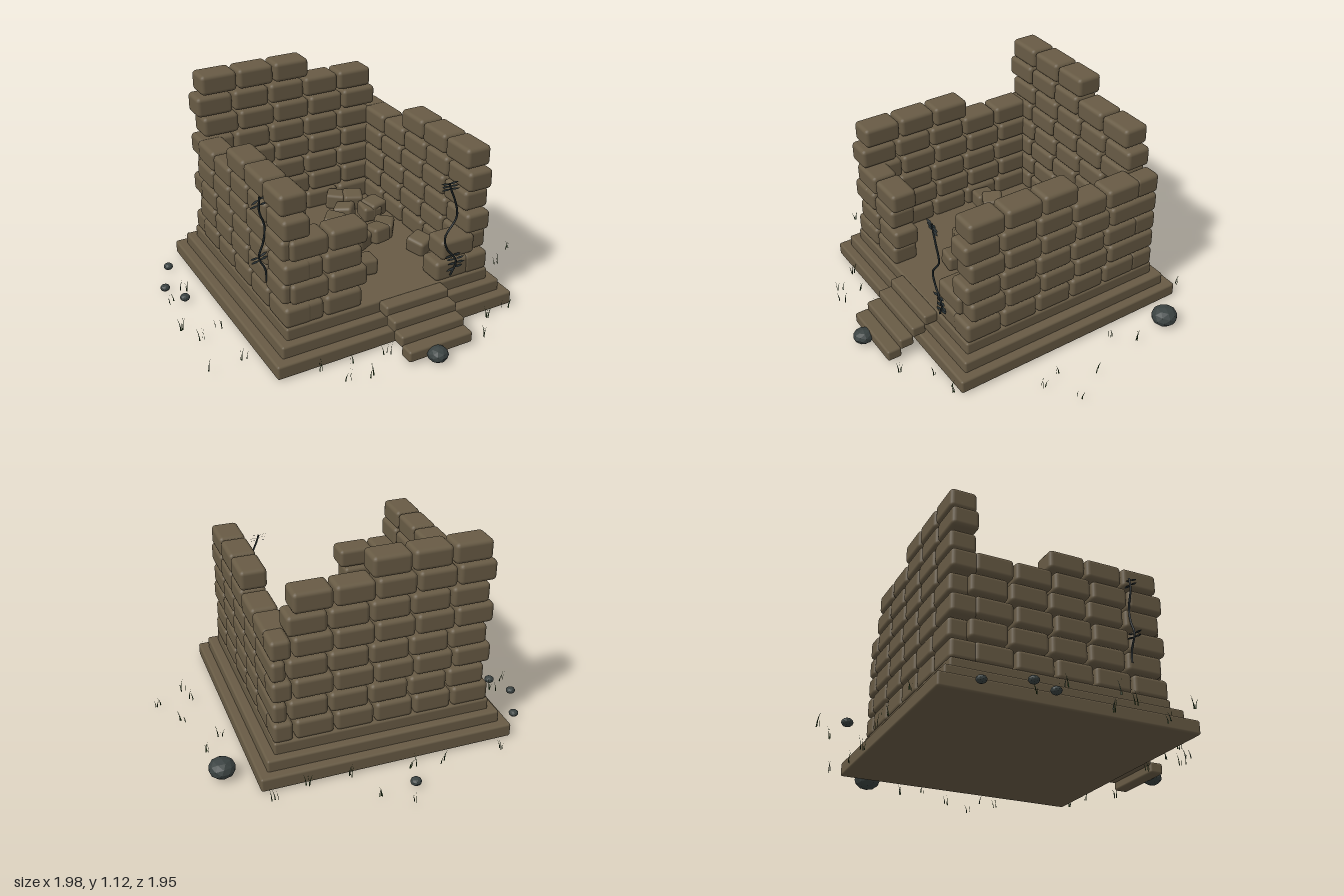
import * as THREE from 'three';
import { RoundedBoxGeometry } from 'three/addons/geometries/RoundedBoxGeometry.js';

const mat = (name, color, extra = {}) => Object.assign(new THREE.MeshStandardMaterial({ color, ...extra }), { name });

export function createModel() {
  const model = new THREE.Group();
  model.name = 'ruinedHut';
  const stone = mat('brownStone', 0x685b45);
  const rock = mat('darkRock', 0x3a4241, { flatShading: true });
  const vineMat = mat('darkVine', 0x20282a, { side: THREE.DoubleSide });
  const grassMat = mat('grassGreen', 0x2c4420, { side: THREE.DoubleSide });

  let seed = 7;
  const rand = () => (seed = (seed * 16807) % 2147483647) / 2147483647;

  const group = (name) => {
    const g = new THREE.Group();
    g.name = name;
    model.add(g);
    return g;
  };

  // Rounded stone block given by its limits on each axis
  const block = (parent, name, [x0, x1], [y0, y1], [z0, z1], r = 0.022) => {
    const m = new THREE.Mesh(new RoundedBoxGeometry(x1 - x0, y1 - y0, z1 - z0, 2, r), stone);
    m.position.set((x0 + x1) / 2, (y0 + y1) / 2, (z0 + z1) / 2);
    m.name = name;
    parent.add(m);
    return m;
  };

  // Stepped plinth
  const base = group('plinth');
  block(base, 'lowerSlab', [-0.715, 0.64], [0.005, 0.08], [-0.662, 0.693], 0.012);
  block(base, 'middleSlab', [-0.665, 0.592], [0.07, 0.142], [-0.612, 0.643], 0.012);
  block(base, 'upperSlab', [-0.62, 0.542], [0.13, 0.204], [-0.568, 0.6], 0.012);

  // Front stairs
  const stairs = group('stairs');
  for (let i = 0; i < 4; i++) {
    const y = 0.145 - i * 0.043, z = 0.595 + i * 0.072;
    block(stairs, 'stair', [-0.113, 0.253], [y, y + 0.061], [z, z + 0.078], 0.012);
  }

  // Brick courses: even rows are shifted against odd rows
  const PITCH = 0.21, LEN = 0.2, T = 0.142;
  const rowY = (r) => [0.199 + (r - 1) * 0.1166, 0.307 + (r - 1) * 0.1166];
  const xStart = (r) => (r % 2 ? -0.612 : -0.582);
  const zStart = (r) => (r % 2 ? 0.595 : 0.567);

  const back = group('backWall');
  const backZ = [-0.566, -0.566 + T];
  for (let r = 1; r <= 8; r++) {
    const count = r === 8 ? 3 : 5;
    for (let i = 0; i < count; i++) {
      const x = xStart(r) + i * PITCH;
      block(back, 'brick', [x, x + LEN], rowY(r), backZ);
    }
    // Short brick closing the corner
    if (r < 6) block(back, 'cornerBrick', [xStart(r) + 5 * PITCH, 0.543], rowY(r), backZ);
  }

  for (const [name, x0] of [['rightWall', -0.62], ['leftWall', 0.401]]) {
    const wall = group(name);
    for (let r = 1; r <= 6; r++) {
      for (let i = 0; i < (r === 6 ? 3 : 5); i++) {
        const z = zStart(r) - i * PITCH;
        block(wall, 'brick', [x0, x0 + T], rowY(r), [z - LEN, z]);
      }
    }
  }

  const front = group('frontWall');
  const frontZ = [0.452, 0.592];
  for (let r = 1; r <= 4; r++) {
    for (const i of r <= 2 ? [0, 1, 4] : [0, 1]) {
      const x = xStart(r) + i * PITCH;
      block(front, 'brick', [x, x + LEN], rowY(r), frontZ);
    }
  }

  // Fallen bricks on the floor: x, z, turn
  const rubble = group('rubble');
  [[-0.1, -0.36, 0.2], [0.17, -0.36, 0.6], [0.24, -0.29, 0.4], [0.15, -0.225, 0.7], [0.27, -0.15, 0.1],
    [0.3, -0.155, -0.25], [0.04, -0.145, 0.7], [-0.41, -0.105, 0.1], [-0.33, -0.115, 0.5], [0.255, 0.03, 0.65],
    [0.07, 0.095, -0.35], [0.16, 0.115, -0.2], [0.33, 0.28, -0.4], [-0.15, 0.19, 0.35], [-0.12, 0.2, 0.6],
    [-0.035, 0.32, 0.1]].forEach(([x, z, a], i) => {
    const m = block(rubble, 'fallenBrick', [-0.055, 0.055], [-0.045, 0.045], [-0.057, 0.057], 0.018);
    m.position.set(x, 0.248 + (i % 3) * 0.015, z);
    m.rotation.set((rand() - 0.5) * 0.35, -a, (rand() - 0.5) * 0.35);
  });

  // Loose rocks: x, y, z, radius
  const rocks = group('rocks');
  for (const [x, y, z, r] of [[0.785, 0.053, -0.465, 0.07], [0.03, 0.04, 0.915, 0.053], [-0.82, 0.022, -0.505, 0.026],
    [-0.91, 0.022, -0.305, 0.026], [-0.85, 0.022, -0.165, 0.027], [-0.09, 0.025, -0.855, 0.029],
    [-0.24, 0.2, -0.09, 0.025]]) {
    const m = new THREE.Mesh(new THREE.IcosahedronGeometry(r, 1), rock);
    m.name = 'rock';
    m.position.set(x, y, z);
    m.scale.y = 0.75;
    m.rotation.y = rand() * 6;
    rocks.add(m);
  }

  // Thin leaf made from a flat pointed outline
  const leafShape = new THREE.Shape();
  leafShape.moveTo(0, 0);
  leafShape.quadraticCurveTo(0.025, 0.013, 0.05, 0);
  leafShape.quadraticCurveTo(0.025, -0.013, 0, 0);
  const leafGeo = new THREE.ShapeGeometry(leafShape, 4).rotateX(-Math.PI / 2);

  // Climbing vine with leaf clusters at chosen heights along its stem
  const vine = (name, points, clusters, turn) => {
    const g = group(name);
    const curve = new THREE.CatmullRomCurve3(points.map((p) => new THREE.Vector3(...p)));
    const stem = new THREE.Mesh(new THREE.TubeGeometry(curve, 28, 0.0055, 5), vineMat);
    stem.name = 'stem';
    g.add(stem);
    for (const t of clusters) {
      for (const side of [0, Math.PI]) {
        const leaf = new THREE.Mesh(leafGeo, vineMat);
        leaf.name = 'leaf';
        leaf.position.copy(curve.getPoint(t));
        leaf.rotation.set(0.35, side + turn + (rand() - 0.5) * 0.3, (rand() - 0.5) * 0.5);
        g.add(leaf);
      }
    }
  };
  vine('frontVine', [[0.3, 0.235, 0.61], [0.33, 0.31, 0.612], [0.27, 0.4, 0.61], [0.255, 0.47, 0.612],
    [0.32, 0.57, 0.61], [0.3, 0.67, 0.612], [0.28, 0.72, 0.61], [0.265, 0.765, 0.608]],
  [0.08, 0.13, 0.17, 0.21, 0.9, 0.95, 0.99], 0);
  vine('sideVine', [[-0.62, 0.36, 0.39], [-0.625, 0.43, 0.39], [-0.655, 0.5, 0.39], [-0.63, 0.58, 0.39],
    [-0.62, 0.66, 0.39], [-0.645, 0.75, 0.39], [-0.64, 0.82, 0.39]], [0.3, 0.34, 0.9, 0.97], 0.2);

  // Grass blades: curved tapering strips scattered around the plinth
  const blade = new THREE.PlaneGeometry(0.007, 0.065, 1, 3).translate(0, 0.0325, 0);
  const p = blade.attributes.position;
  for (let i = 0; i < p.count; i++) {
    const t = p.getY(i) / 0.065;
    p.setX(i, p.getX(i) * (1 - 0.95 * t) + 0.014 * t * t);
  }
  blade.computeVertexNormals();
  const grass = group('grass');
  for (const [x, z] of [[-0.92, -0.17], [-0.83, -0.25], [-0.29, -0.74], [-0.63, -0.74], [-0.04, -0.97], [-0.13, -0.74],
    [0.19, -0.69], [0.59, -0.74], [0.82, -0.26], [0.72, -0.16], [0.88, 0.05], [0.8, 0.23], [0.97, 0.23],
    [0.82, 0.34], [0.59, 0.71], [0.45, 0.74], [0.32, 0.87], [-0.31, 0.87], [-0.5, 0.71], [-0.42, 0.84],
    [-1.0, 0.46], [-0.79, 0.16], [-0.9, 0.21], [-0.97, 0.08], [-0.79, 0.45], [0.11, -0.87], [0.4, -0.69],
    [-0.35, 0.74], [-0.16, 0.76]]) {
    for (let k = 0; k < 3; k++) {
      const m = new THREE.Mesh(blade, grassMat);
      m.name = 'blade';
      m.position.set(Math.max(-0.97, x + (rand() - 0.5) * 0.04), 0.005, z + (rand() - 0.5) * 0.03);
      m.rotation.y = rand() * 6.28;
      m.scale.y = 0.7 + rand() * 0.5;
      grass.add(m);
    }
  }
  return model;
}
